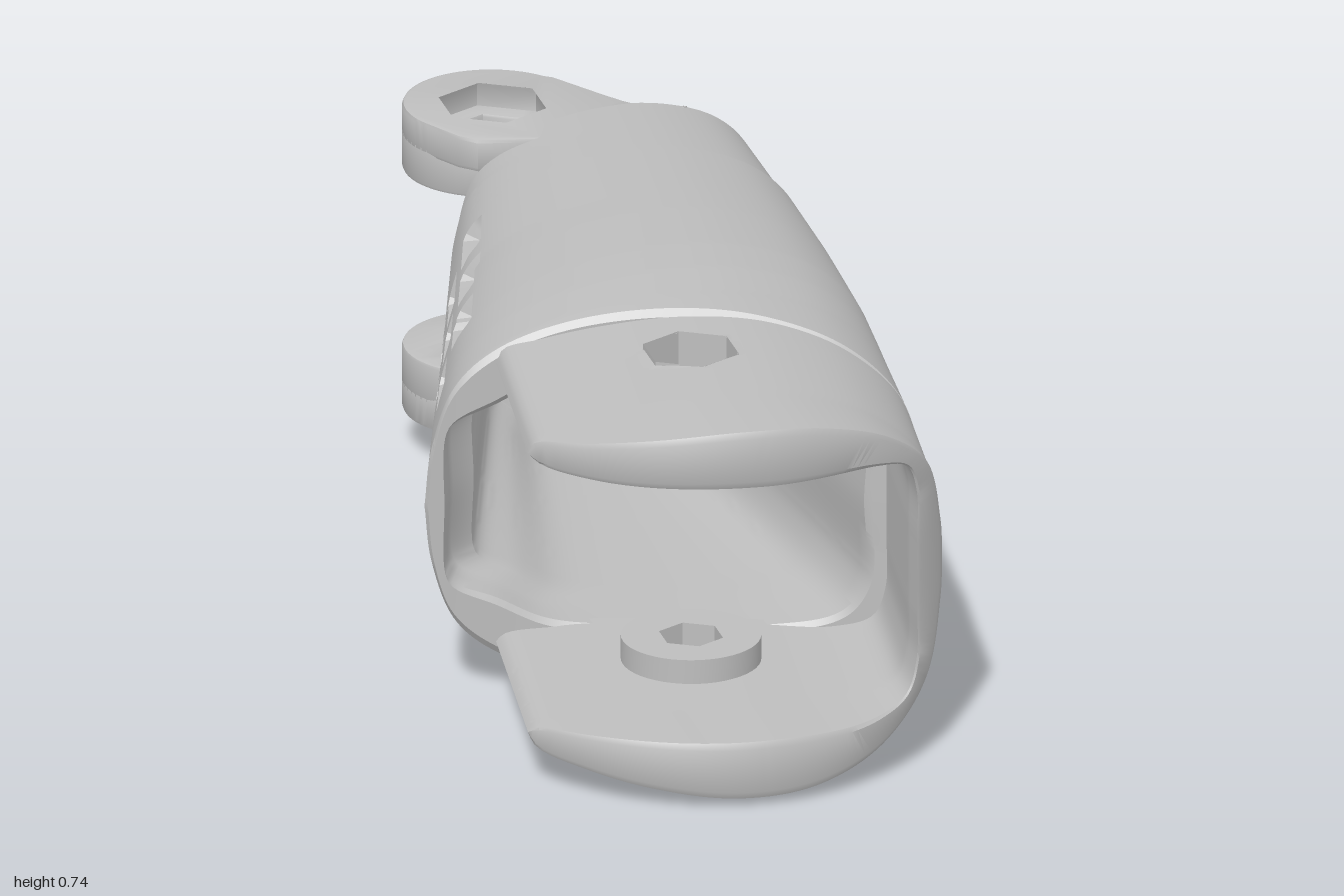
import * as THREE from 'three';
import { toCreasedNormals } from 'three/addons/utils/BufferGeometryUtils.js';

const MID = 0.375; // height of the mirror plane
const shellGrey = new THREE.MeshStandardMaterial({ color: 0xbebebe, side: THREE.DoubleSide });
const clamp = THREE.MathUtils.clamp, lerp = THREE.MathUtils.lerp;

// Piecewise linear function from [position, value] pairs
const ramp = (...p) => (z) => {
  if (z <= p[0][0]) return p[0][1];
  for (let i = 1; i < p.length; i++) {
    if (z <= p[i][0]) return lerp(p[i - 1][1], p[i][1], (z - p[i - 1][0]) / (p[i][0] - p[i - 1][0]));
  }
  return p[p.length - 1][1];
};

// A skin is a mirrored half profile plus left, right, half-height and fullness rules along z
function skin(half, n, L, R, H, Q = () => 1) {
  const pts = half.map(([x, y]) => new THREE.Vector3(x, y, 0));
  const low = half.slice(0, -1).reverse().map(([x, y]) => new THREE.Vector3(x, -y, 0));
  return { ring: new THREE.CatmullRomCurve3([...pts, ...low]).getSpacedPoints(n), L, R, H, Q };
}

// Point on a skin, where both ends of the part are curves z(x)
function skinPoint(s, i, t, za, zb) {
  const c = s.ring[i];
  let x = 0, z = 0;
  for (let k = 0; k < 4; k++) {
    z = lerp(za(x), zb(x), t);
    x = lerp(s.L(z), s.R(z), (c.x + 1) / 2);
  }
  return new THREE.Vector3(x, MID + Math.sign(c.y) * Math.abs(c.y) ** s.Q(z) * s.H(z), z);
}

// Hollow wall between two skins with softened rims, optional dents and hexagonal openings
function wall({ outer, inner, za, zb, nt, ni, dent, hole }) {
  const e = 0.01, path = [];
  for (let k = 0; k <= nt; k++) path.push([lerp(e, 1 - e, k / nt), 0]);
  path.push([1, 0.12], [1, 0.88]);
  for (let k = ni; k >= 0; k--) path.push([lerp(e, 1 - e, k / ni), 1]);
  path.push([0, 0.88], [0, 0.12]);
  const n = outer.ring.length, m = path.length, pos = [], idx = [], inside = [];
  for (let i = 0; i < n; i++) {
    for (const [t, s] of path) {
      const p = skinPoint(outer, i, t, za, zb).lerp(skinPoint(inner, i, t, za, zb), s);
      if (dent && s === 0) dent(p);
      inside.push(hole ? hole(p) : false);
      pos.push(p.x, p.y, p.z);
    }
  }
  for (let i = 0; i < n - 1; i++) {
    for (let j = 0; j < m; j++) {
      const a = i * m + j, b = i * m + (j + 1) % m, c = a + m, d = b + m;
      if (inside[a] && inside[b] && inside[c] && inside[d]) continue;
      idx.push(a, b, c, b, d, c);
    }
  }
  const g = new THREE.BufferGeometry();
  g.setAttribute('position', new THREE.Float32BufferAttribute(pos, 3));
  g.setIndex(idx);
  return toCreasedNormals(g, 0.55);
}

// Seams and ends, as curves z(x)
const sleeveFront = (x) => 0.337 + 0.215 * Math.pow(clamp((x + 0.46) / 0.87, 0, 1), 1.7);
const sleeveBack = (x) => -0.61 + 0.165 * (1 - Math.pow(1 - clamp((x + 0.18) / 0.62, 0, 1), 2));
const forkEnd = (x) => 0.54 + Math.sqrt(Math.max(0.461 ** 2 - x * x, 0.01));
const collarEnd = ramp([-0.16, -0.65], [0, -0.71], [0.2, -0.735]);

// Staggered rows of slots pressed into the slanted side
function slots(p) {
  if (p.x > 0.1) return;
  const row = Math.round((p.y - MID) / 0.075);
  if (Math.abs(row) > 3 || Math.abs(p.y - MID - row * 0.075) > 0.019) return;
  const start = row % 2 ? -0.35 : -0.26;
  const col = Math.round((p.z - start) / 0.185);
  if (col < 0 || col > 2 || Math.abs(p.z - start - col * 0.185) > 0.063) return;
  p.x += 0.026;
  p.y = MID + (p.y - MID) * 0.95;
}

// Hexagonal opening through the fork plates
const PIVOT = { x: -0.03, z: 0.57, r: 0.09 };
function pivotHole(p) {
  const dx = p.x - PIVOT.x, dz = p.z - PIVOT.z;
  let d = 1e-6;
  for (let k = 0; k < 6; k++) {
    const a = Math.PI / 6 + k * Math.PI / 3;
    d = Math.max(d, (dx * Math.sin(a) + dz * Math.cos(a)) / Math.cos(Math.PI / 6));
  }
  if (d >= PIVOT.r) return false;
  p.x = PIVOT.x + dx * PIVOT.r / d;
  p.z = PIVOT.z + dz * PIVOT.r / d;
  return true;
}

const lathe = (pts, sides) => toCreasedNormals(
  new THREE.LatheGeometry(pts.map(([r, y]) => new THREE.Vector2(r, y)), sides), 0.5);

// Flat plate drawn in x and z, from height y0 to y1
function plate(shape, y0, y1, bevel) {
  const g = new THREE.ExtrudeGeometry(shape, { depth: y1 - y0 - 2 * bevel, bevelEnabled: bevel > 0,
    bevelSize: bevel, bevelOffset: -bevel, bevelThickness: bevel, bevelSegments: 2, curveSegments: 24 });
  g.rotateX(Math.PI / 2).translate(0, y1 - bevel, 0);
  return toCreasedNormals(g, 0.6);
}

function hexPath(cx, cz, r) {
  const pts = [];
  for (let k = 0; k < 6; k++) {
    const a = k * Math.PI / 3;
    pts.push(new THREE.Vector2(cx + r * Math.sin(a), cz + r * Math.cos(a)));
  }
  return new THREE.Path(pts);
}

export function createModel() {
  const model = new THREE.Group();
  model.name = 'hollowLinkSegment';
  const add = (name, geometry, parent = model) => {
    const mesh = new THREE.Mesh(geometry, shellGrey);
    mesh.name = name;
    parent.add(mesh);
    return mesh;
  };

  const body = [[-1, 0], [-0.97, 0.3], [-0.87, 0.62], [-0.7, 0.8], [-0.4, 0.935], [0, 1],
    [0.35, 0.97], [0.68, 0.83], [0.9, 0.58], [0.99, 0.22], [1, 0]];
  const bore = [[-1, 0], [-1, 0.55], [-0.95, 0.64], [-0.75, 0.76], [-0.5, 0.94], [-0.25, 1], [0.6, 1],
    [0.88, 0.9], [1, 0.65], [1, 0]];
  const left = ramp([-0.75, -0.14], [-0.6, -0.18], [0.33, -0.465]);
  const right = ramp([-0.74, 0.442], [-0.44, 0.453], [-0.2, 0.459], [0.1, 0.447], [0.54, 0.412], [0.81, 0.381]);
  const height = ramp([-0.74, 0.315], [-0.45, 0.335], [-0.1, 0.358], [0.1, 0.368], [0.22, 0.37],
    [0.35, 0.367], [0.55, 0.36]);
  const fullness = ramp([-0.74, 0.7], [-0.2, 1]); // the section turns boxier to the rear
  const boreL = ramp([-0.6, -0.1], [0.22, -0.345], [0.25, -0.39], [0.33, -0.425]);
  const boreR = ramp([-0.74, 0.385], [-0.6, 0.3], [-0.44, 0.2], [0.5, 0.31]);
  const boreH = ramp([-0.74, 0.275], [-0.6, 0.255], [-0.45, 0.245]);

  // Closed middle sleeve with slots
  add('sleeve', wall({ outer: skin(body, 180, left, right, height, fullness),
    inner: skin(bore, 180, boreL, boreR, boreH),
    za: sleeveBack, zb: sleeveFront, nt: 94, ni: 24, dent: slots }));

  // Rear collar, slightly inset under the sleeve
  add('rearCollar', wall({
    outer: skin(body, 96, (z) => left(z) + 0.006, (z) => right(z) - 0.006, (z) => height(z) - 0.005, fullness),
    inner: skin(bore, 96, (z) => boreL(z) + 0.002, (z) => boreR(z) - 0.002, (z) => boreH(z) - 0.002),
    za: collarEnd, zb: (x) => sleeveBack(x) + 0.02, nt: 14, ni: 10 }));

  // Open front fork: two rounded plates joined by one side wall
  const forkOuter = [[-1, 0.765], [-0.965, 0.835], [-0.78, 0.89], [-0.5, 0.95], [-0.1, 1], [0.3, 0.97],
    [0.65, 0.83], [0.9, 0.58], [0.99, 0.22], [1, 0]];
  const forkInner = [[-1, 0.765], [-0.96, 0.725], [-0.75, 0.7], [0, 0.695], [0.6, 0.685],
    [0.77, 0.62], [0.83, 0.46], [0.835, 0.2], [0.835, 0]];
  const forkL = ramp([0.3, -0.33], [0.35, -0.336], [0.79, -0.39]);
  const forkR = (z) => right(z) - 0.004;
  const forkH = ramp([0.3, 0.352], [1, 0.355]);
  add('frontFork', wall({ outer: skin(forkOuter, 160, forkL, forkR, forkH),
    inner: skin(forkInner, 160, forkL, forkR, forkH),
    za: (x) => sleeveFront(x) - 0.04, zb: forkEnd, nt: 54, ni: 54, hole: pivotHole }));

  // Pivot parts, made for the top and mirrored to the bottom
  for (const side of ['top', 'bottom']) {
    const pivots = new THREE.Group();
    pivots.name = side + 'Pivots';
    if (side === 'bottom') {
      pivots.scale.y = -1;
      pivots.position.y = 2 * MID;
    }
    model.add(pivots);

    // Fork pivot: hexagonal recess and round inner boss
    add('forkRecess', lathe([[0.06, 0.575], [0.06, 0.665], [0.09, 0.665], [0.09, 0.729]], 6), pivots)
      .position.set(PIVOT.x, 0, PIVOT.z);
    const bossShape = new THREE.Shape().absarc(PIVOT.x, PIVOT.z, 0.127, 0, Math.PI * 2);
    bossShape.holes.push(hexPath(PIVOT.x, PIVOT.z, 0.06));
    add('forkBoss', plate(bossShape, 0.575, 0.635, 0), pivots);

    // Rear ear: web with a recess above a thick round boss, flattened on one side
    const ex = -0.04, ez = -0.84, hz = -0.828;
    const web = new THREE.Shape();
    web.moveTo(-0.11, -0.66);
    web.lineTo(0, -0.64);
    web.lineTo(0.24, -0.66);
    web.lineTo(0.3, -0.733);
    web.quadraticCurveTo(0.23, -0.735, 0.19, -0.79);
    web.lineTo(0.091, -0.932);
    web.absarc(ex, ez, 0.16, -0.61, -3.66, true);
    web.lineTo(-0.14, -0.69);
    web.closePath();
    web.holes.push(hexPath(ex, hz, 0.11));
    add('earWeb', plate(web, 0.607, 0.672, 0.008), pivots);
    const ear = new THREE.Shape().absarc(ex, ez, 0.16, 0.67, Math.PI * 2 - 0.67);
    ear.closePath();
    ear.holes.push(hexPath(ex, hz, 0.068));
    add('earBoss', plate(ear, 0.545, 0.625, 0.006), pivots);
  }
  return model;
}
